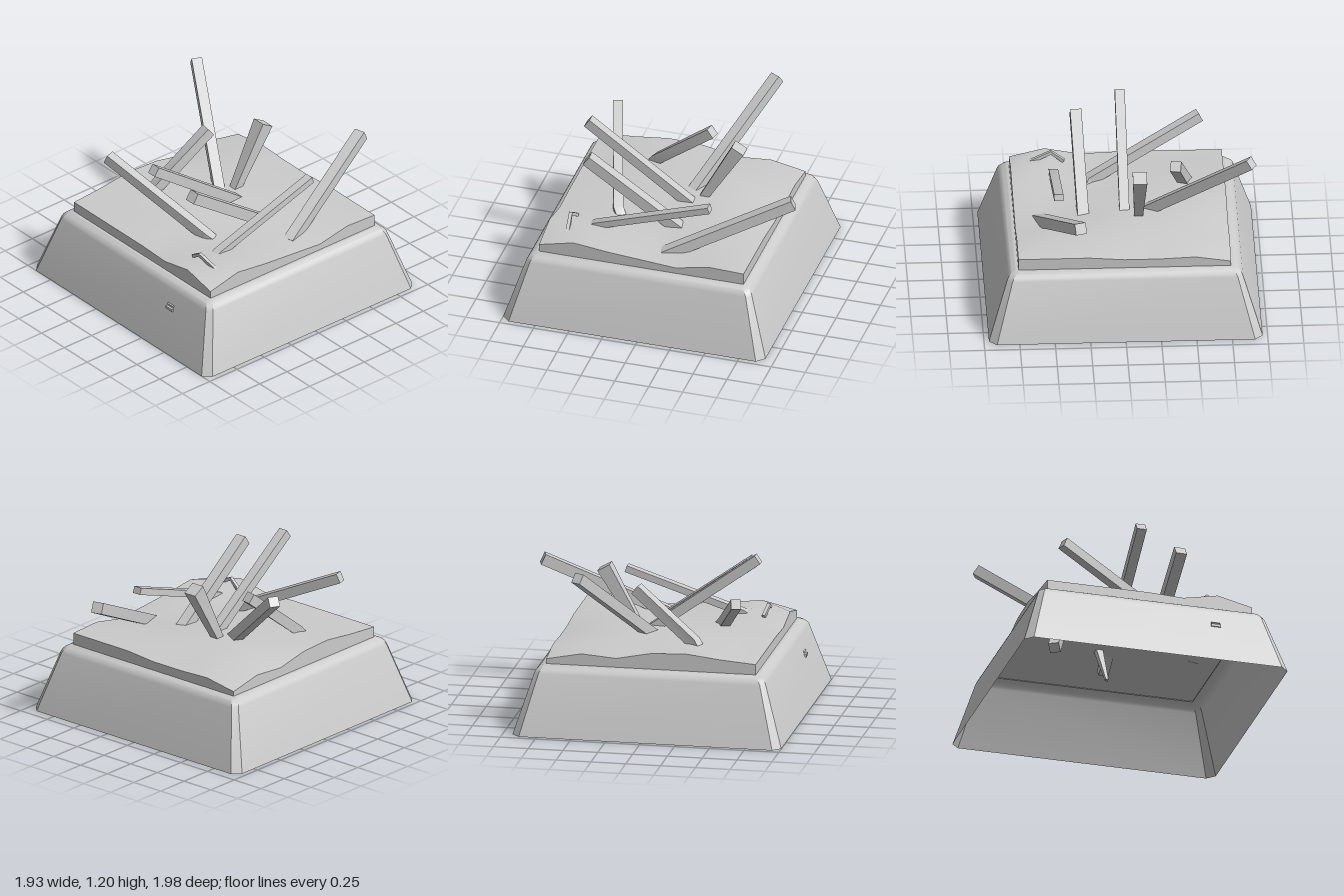
import * as THREE from 'three';
import { toCreasedNormals } from 'three/addons/utils/BufferGeometryUtils.js';

const material = new THREE.MeshStandardMaterial({ color: 0xcccccc, side: THREE.DoubleSide });

function buildMesh(name, points, index, crease) {
  let geometry = new THREE.BufferGeometry();
  geometry.setAttribute('position', new THREE.Float32BufferAttribute(points.flat(), 3));
  geometry.setIndex(index);
  geometry = toCreasedNormals(geometry, crease);
  const mesh = new THREE.Mesh(geometry, material);
  mesh.name = name;
  return mesh;
}

// Skin a list of rings, each running counter-clockwise about the path direction
function loft(name, rings, { startCap = true, crease = 0.3 } = {}) {
  const n = rings[0].length;
  const index = [];
  for (let r = 0; r < rings.length - 1; r++) {
    for (let i = 0; i < n; i++) {
      const a = r * n + i, b = r * n + (i + 1) % n;
      index.push(a, b, b + n, a, b + n, a + n);
    }
  }
  const last = (rings.length - 1) * n;
  for (let i = 1; i < n - 1; i++) {
    index.push(last, last + i, last + i + 1);
    if (startCap) index.push(0, i + 1, i);
  }
  return buildMesh(name, rings.flat(), index, crease);
}

// Chamfered square ring of the base
function baseRing(h, y, c) {
  const a = h - c;
  return [[-a, h], [a, h], [h, a], [h, -a], [a, -h], [-a, -h], [-h, -a], [-h, a]]
    .map(([x, z]) => [x, y, z + 0.035]);
}

// Square timber through a few points; width runs from the first to the last value
function beam(name, path, widthStart, widthEnd = widthStart, depth = 1) {
  const pts = path.map((p) => new THREE.Vector3(...p));
  const rings = pts.map((p, i) => {
    const d = pts[Math.min(i + 1, pts.length - 1)].clone()
      .sub(pts[Math.max(i - 1, 0)]).normalize();
    const s = d.clone().cross(new THREE.Vector3(0, 1, 0)).normalize();
    const n = d.clone().cross(s);
    const w = THREE.MathUtils.lerp(widthStart, widthEnd, i / (pts.length - 1)) / 2;
    return [[-w, -w], [w, -w], [w, w], [-w, w]].map(([u, v]) =>
      p.clone().addScaledVector(s, u).addScaledVector(n, v * depth).toArray());
  });
  return loft(name, rings);
}

// Ground heights, rows from back to front, columns from right to left of the model
const HEIGHTS = [
  [0.52, 0.56, 0.55, 0.55, 0.57, 0.57, 0.57],
  [0.57, 0.60, 0.60, 0.60, 0.59, 0.59, 0.58],
  [0.55, 0.61, 0.61, 0.61, 0.59, 0.56, 0.53],
  [0.60, 0.60, 0.61, 0.60, 0.57, 0.57, 0.55],
  [0.61, 0.61, 0.61, 0.60, 0.57, 0.59, 0.57],
  [0.58, 0.58, 0.58, 0.58, 0.57, 0.61, 0.60],
  [0.56, 0.56, 0.56, 0.56, 0.55, 0.60, 0.54],
];

function createGround() {
  const group = new THREE.Group();
  group.name = 'ground';
  const N = HEIGHTS.length;
  const at = (r, c) => [-0.75 + 1.5 * c / (N - 1), HEIGHTS[r][c], -0.72 + 1.505 * r / (N - 1)];

  // Uneven surface
  const points = [], index = [];
  for (let r = 0; r < N; r++) {
    for (let c = 0; c < N; c++) {
      points.push(at(r, c));
      if (r < N - 1 && c < N - 1) {
        const a = r * N + c;
        index.push(a, a + N, a + 1, a + 1, a + N, a + N + 1);
      }
    }
  }
  group.add(buildMesh('groundSurface', points, index, 1));

  // Upright rim around the surface
  const edge = [];
  for (let i = 0; i < N - 1; i++) edge.push(at(N - 1, i));
  for (let i = N - 1; i > 0; i--) edge.push(at(i, N - 1));
  for (let i = N - 1; i > 0; i--) edge.push(at(0, i));
  for (let i = 0; i < N - 1; i++) edge.push(at(i, 0));
  const rim = [], rimIndex = [];
  edge.forEach(([x, y, z], i) => {
    rim.push([x, 0.48, z], [x, y, z]);
    const a = 2 * i, b = 2 * ((i + 1) % edge.length);
    rimIndex.push(a, b, b + 1, a, b + 1, a + 1);
  });
  group.add(buildMesh('groundRim', rim, rimIndex, 0.3));
  return group;
}

export function createModel() {
  const model = new THREE.Group();
  model.name = 'ruinedFoundation';

  // Hollow sloping base with a rounded shoulder
  model.add(loft('base', [
    baseRing(0.965, 0, 0.055),
    baseRing(0.83, 0.43, 0.035),
    baseRing(0.82, 0.45, 0.035),
    baseRing(0.80, 0.47, 0.03),
    baseRing(0.77, 0.485, 0.03),
  ], { startCap: false, crease: 0.45 }));

  model.add(createGround());

  // Broken timbers standing out of the ground
  const timbers = new THREE.Group();
  timbers.name = 'timbers';
  timbers.add(
    beam('rightLeaningBeam', [[-0.905, 1.165, -0.465], [-0.12, 0.53, -0.04]], 0.075),
    beam('frontLongBeam', [[-0.585, 0.945, 0.61], [0.2, 0.58, 0.37], [0.27, 0.5, 0.31]], 0.07),
    beam('centreBeam', [[-0.025, 1.125, 0.66], [-0.025, 0.42, -0.32]], 0.07),
    beam('leftFrontBeam', [[0.29, 1.02, 0.57], [0.265, 0.52, -0.14]], 0.08),
    beam('leftBackLeaningBeam', [[0.45, 0.87, -0.38], [0.45, 0.59, 0.46], [0.45, 0.31, 0.89]], 0.065, 0.065, 0.75),
    beam('rightShortBeam', [[-0.385, 0.965, -0.145], [-0.46, 0.62, 0.28], [-0.65, 0.12, 0.62]], 0.075),
    beam('backBeam', [[0.32, 0.945, -0.955], [0.58, 0.52, -0.08]], 0.08),
    beam('taperedBeam', [[-0.12, 1.04, -0.425], [-0.12, 0.6, -0.17], [-0.11, 0.18, 0.08]], 0.1, 0.02),
  );
  model.add(timbers);

  // Small bent splinter near the front corner
  model.add(beam('splinter', [[0.37, 0.59, 0.62], [0.46, 0.65, 0.64], [0.61, 0.59, 0.62]], 0.025));

  // Beam tip showing through the front wall
  const tip = new THREE.Mesh(new THREE.BoxGeometry(0.07, 0.02, 0.03), material);
  tip.name = 'beamTip';
  tip.position.set(0.45, 0.305, 0.902);
  model.add(tip);

  return model;
}
